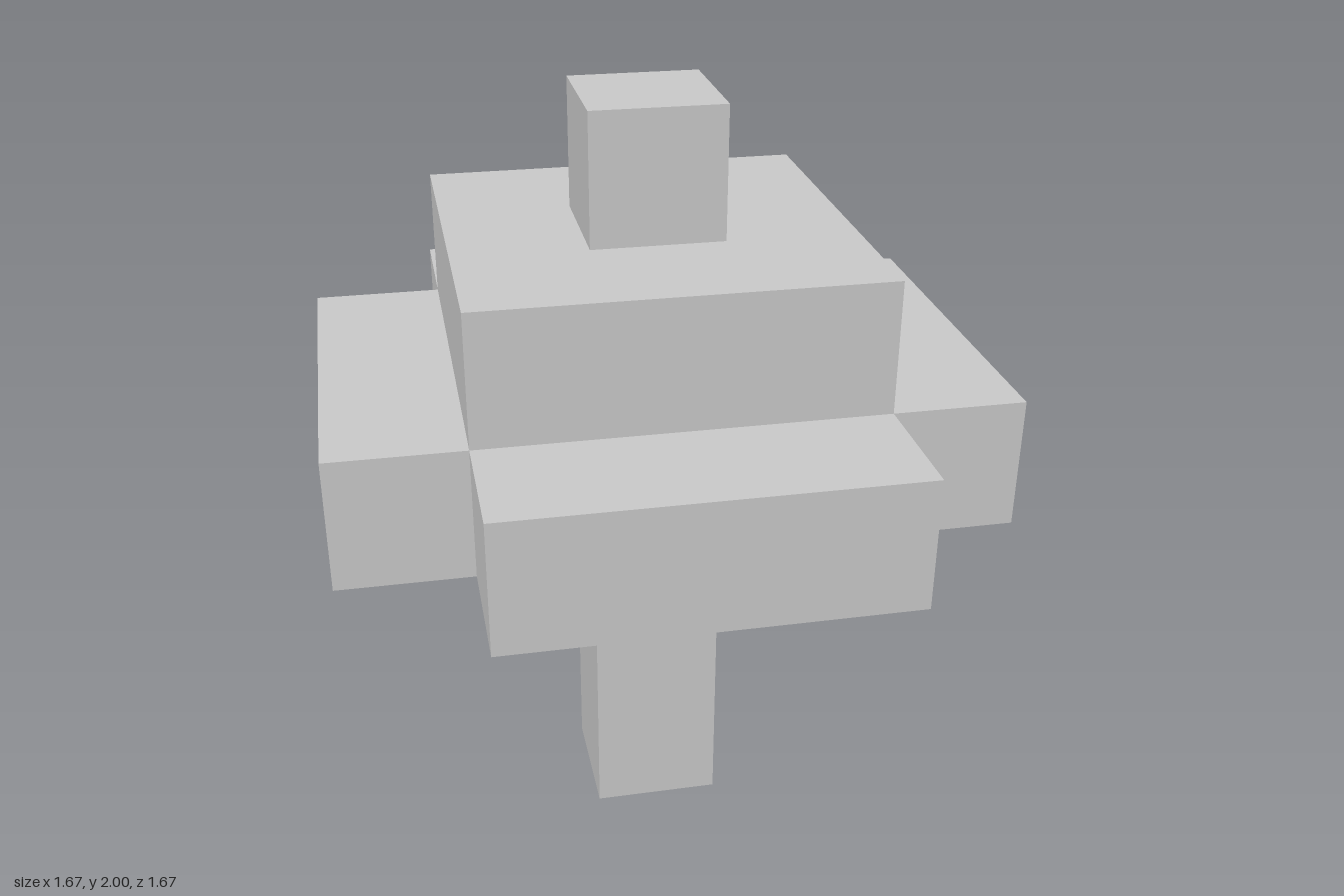
import * as THREE from 'three';

const U = 1 / 3; // one block

export function createModel() {
  const model = new THREE.Group();
  model.name = 'blockTree';
  const material = new THREE.MeshStandardMaterial({ color: 0xcccccc, flatShading: true });

  // Box measured in blocks, placed by the centre of its base
  function addBox(name, [w, h, d], [x, y, z], parent = model) {
    const mesh = new THREE.Mesh(new THREE.BoxGeometry(w * U, h * U, d * U), material);
    mesh.name = name;
    mesh.position.set(x * U, (y + h / 2) * U, z * U);
    parent.add(mesh);
  }

  // Trunk, main crown and the single block on top
  addBox('trunk', [1, 3, 1], [0, 0, 0]);
  addBox('crown', [3, 2, 3], [0, 3, 0]);
  addBox('treetop', [1, 1, 1], [0, 5, 0]);

  // Four lower ledges of foliage, one on each side of the crown
  const ledges = new THREE.Group();
  ledges.name = 'lowerFoliage';
  for (const s of [-1, 1]) {
    addBox(s > 0 ? 'leftLedge' : 'rightLedge', [1, 1, 3], [2 * s, 3, 0], ledges);
    addBox(s > 0 ? 'frontLedge' : 'backLedge', [3, 1, 1], [0, 3, 2 * s], ledges);
  }
  model.add(ledges);

  return model;
}
